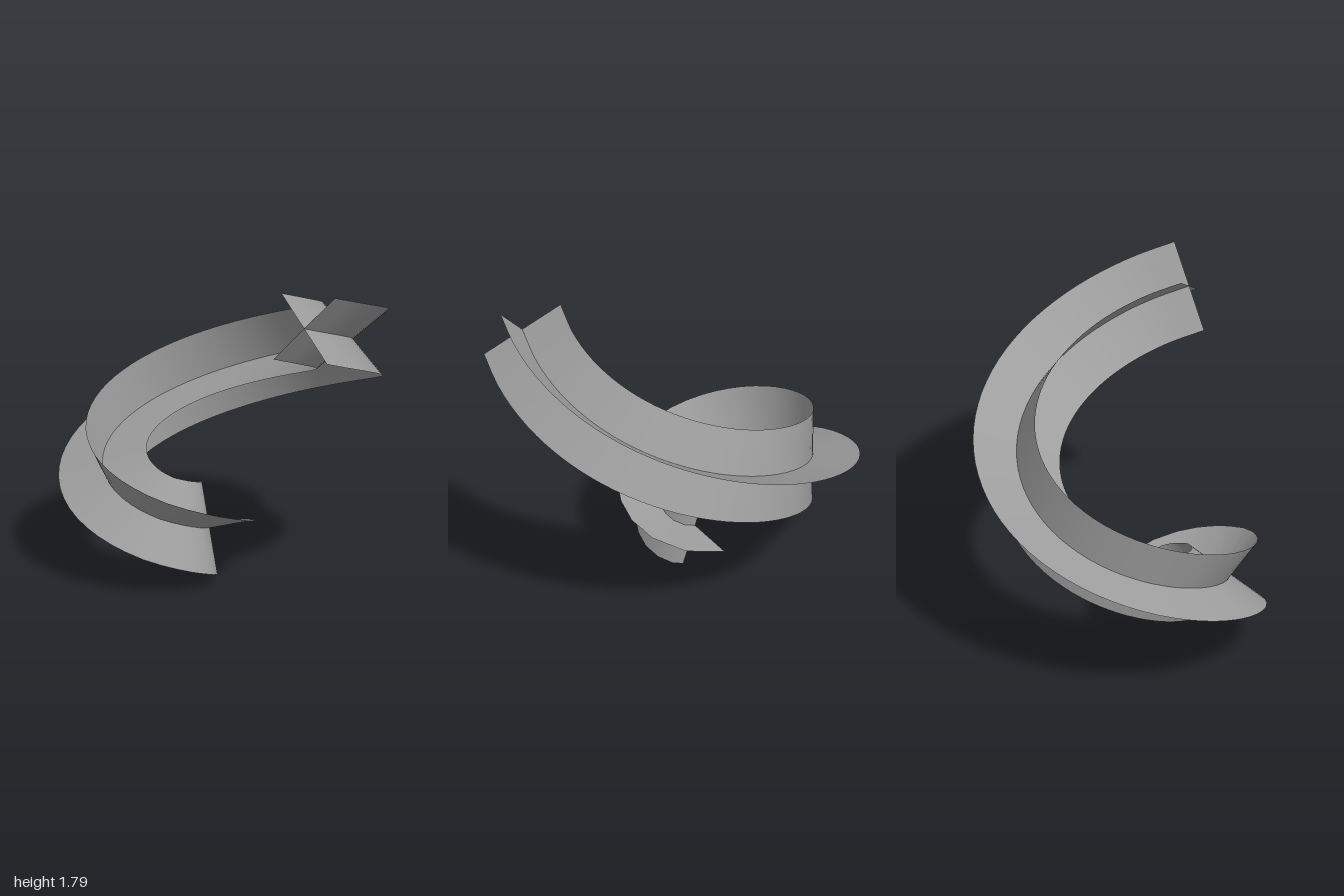
import * as THREE from 'three';

const SEGMENTS = 64;
const HALF_WIDTH = 0.25;

// Plan of the centre line: a short tight hook, then an even outward spiral (x, z)
function planCurve() {
  const points = [[-0.155, -0.12], [-0.135, -0.06], [-0.155, 0.005], [-0.21, 0.057], [-0.3, 0.084], [-0.39, 0.076]];
  for (let i = 0; i <= 24; i++) {
    const angle = THREE.MathUtils.degToRad(146 + (437 - 146) * i / 24);
    const radius = 0.1205 * (angle + 0.26);
    points.push([-0.185 + radius * Math.cos(angle), -0.14 + radius * Math.sin(angle)]);
  }
  return new THREE.CatmullRomCurve3(points.map(([x, z]) => new THREE.Vector3(x, 0, z)));
}

// Stations along the rising path, each with its two crossing directions
function buildStations() {
  const plan = planCurve();
  plan.arcLengthDivisions = 1000;
  const slope = Math.atan(0.38);
  const stations = [];
  let heading = Math.PI / 4;
  let roll = THREE.MathUtils.degToRad(-98);
  for (let i = 0; i <= SEGMENTS; i++) {
    const u = i / SEGMENTS;
    const centre = plan.getPointAt(u);
    centre.y = 0.25 + 1.36 * Math.pow(u, 1.08);

    // the path turns in plan, and the cross rolls steadily with it
    const ease = Math.min(1, 0.6 + i / 10);
    if (i > 0) {
      const dir = plan.getTangentAt(u);
      let turn = Math.atan2(dir.z, dir.x) - heading;
      turn -= 2 * Math.PI * Math.round(turn / (2 * Math.PI));
      heading += turn;
      roll += 0.335 * ease * turn;
    }
    const rise = slope * ease;
    const c = Math.cos(heading), s = Math.sin(heading);
    const out = new THREE.Vector3(s, 0, -c);
    const up = new THREE.Vector3(-Math.sin(rise) * c, Math.cos(rise), -Math.sin(rise) * s);
    const side = (a) => out.clone().multiplyScalar(Math.cos(a)).addScaledVector(up, Math.sin(a));
    stations.push({ centre, sides: [side(roll), side(roll + Math.PI / 2)] });
  }
  return stations;
}

// Flat strip swept along the stations, three points across
function ribbon(stations, which, name) {
  const positions = [], index = [];
  stations.forEach(({ centre, sides }, i) => {
    for (let j = -1; j <= 1; j++) {
      positions.push(...centre.clone().addScaledVector(sides[which], j * HALF_WIDTH).toArray());
    }
    if (i === 0) return;
    for (let j = 0; j < 2; j++) {
      const a = (i - 1) * 3 + j, b = a + 3;
      index.push(a, b, a + 1, b, b + 1, a + 1);
    }
  });
  const geometry = new THREE.BufferGeometry();
  geometry.setAttribute('position', new THREE.Float32BufferAttribute(positions, 3));
  geometry.setIndex(index);
  geometry.computeVertexNormals();
  const material = new THREE.MeshStandardMaterial({ color: 0x9d9d9d, side: THREE.DoubleSide });
  const mesh = new THREE.Mesh(geometry, material);
  mesh.name = name;
  return mesh;
}

export function createModel() {
  const group = new THREE.Group();
  group.name = 'crossedSpiralRibbons';
  const stations = buildStations();
  group.add(ribbon(stations, 0, 'outerRibbon'), ribbon(stations, 1, 'crossingRibbon'));
  return group;
}
